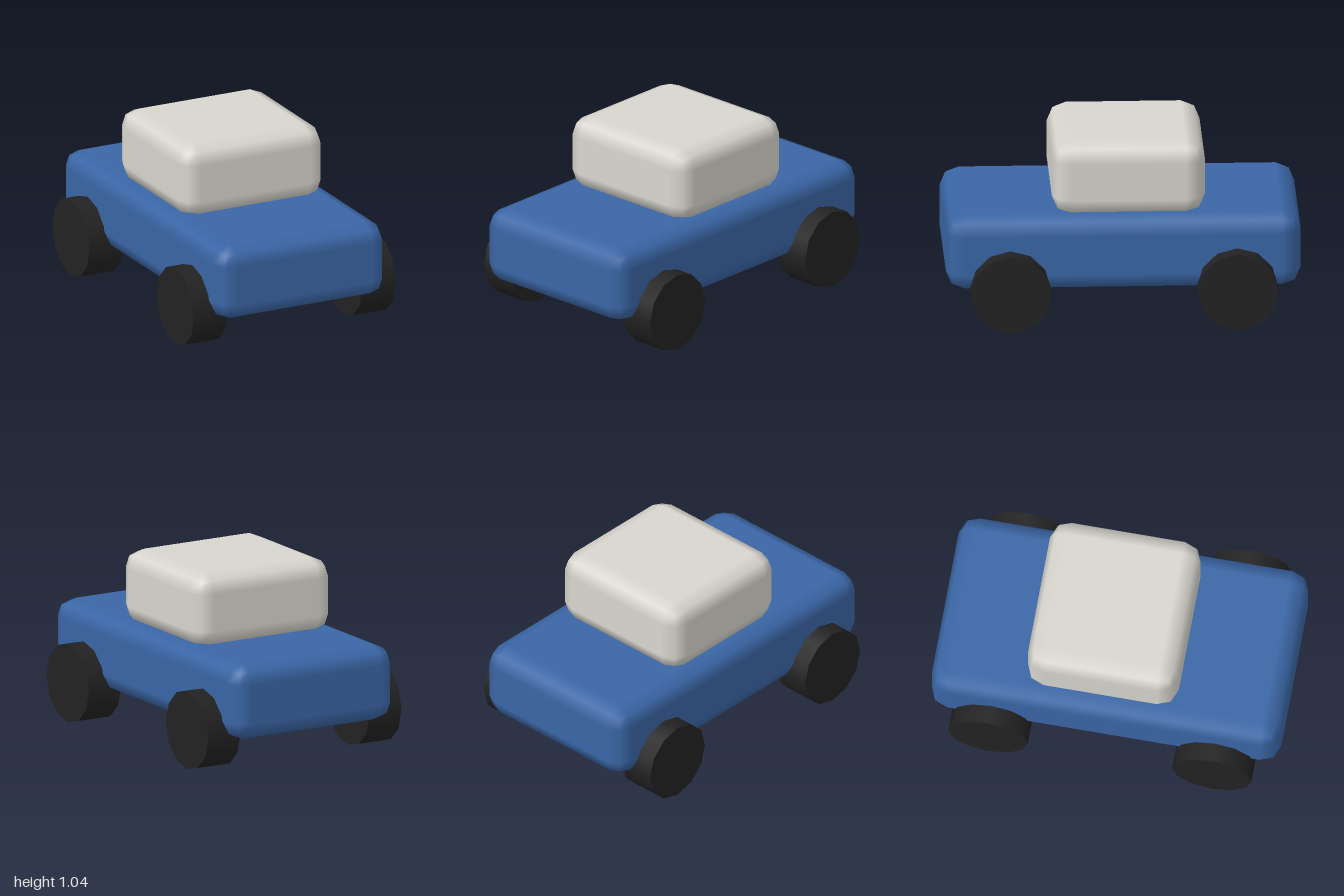
import * as THREE from 'three';
import { RoundedBoxGeometry } from 'three/addons/geometries/RoundedBoxGeometry.js';

const material = (name, color) => {
  const m = new THREE.MeshStandardMaterial({ color });
  m.name = name;
  return m;
};

export function createModel() {
  const model = new THREE.Group();
  model.name = 'car';
  const blue = material('blue paint', 0x3a66a6);
  const cream = material('pale grey paint', 0xd8d6ce);
  const rubber = material('black rubber', 0x222222);

  const add = (name, geometry, mat, x, y, z) => {
    const mesh = new THREE.Mesh(geometry, mat);
    mesh.name = name;
    mesh.position.set(x, y, z);
    model.add(mesh);
  };

  // Body and cabin: boxes with a coarse two-step rounding
  add('body', new RoundedBoxGeometry(1.066, 0.439, 2, 1, 0.107), blue, 0, 0.421, 0);
  add('cabin', new RoundedBoxGeometry(0.907, 0.43, 0.862, 1, 0.107), cream, 0, 0.828, -0.032);

  // Four twelve-sided wheels, axles along x
  const wheel = new THREE.CylinderGeometry(0.227, 0.227, 0.213, 12).rotateZ(Math.PI / 2);
  for (const [side, sx] of [['Left', 1], ['Right', -1]]) {
    for (const [end, sz] of [['front', 1], ['rear', -1]]) {
      add(`${end}${side}Wheel`, wheel, rubber, sx * 0.533, 0.227, sz * 0.64);
    }
  }
  return model;
}
